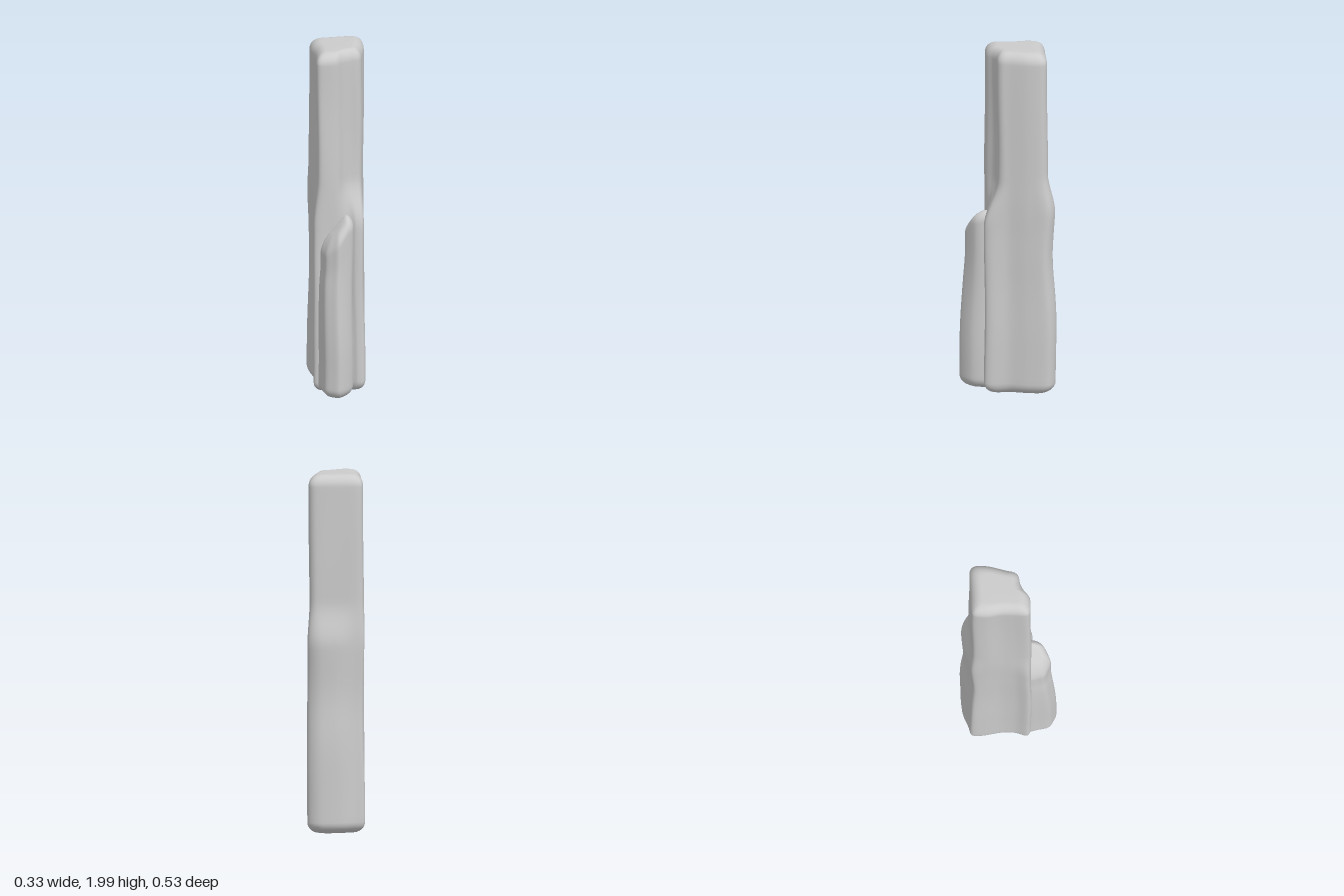
import * as THREE from 'three';

const AROUND = 96;
const smooth = THREE.MathUtils.smoothstep;
const mix = THREE.MathUtils.lerp;

// Closed smooth outline through [x, z] corners, sampled per corner so outlines can be blended
function outline(points) {
  const curve = new THREE.CatmullRomCurve3(
    points.map(([x, z]) => new THREE.Vector3(x, 0, z)), true, 'catmullrom', 0.45);
  return Array.from({ length: AROUND }, (_, i) => curve.getPoint(i / AROUND));
}

// Loft with rounded ends; place(i, y) gives the wall point, bend adjusts the final vertex
function loft(name, y0, y1, radius, center, half, place, bend) {
  const levels = [], steps = 8, rows = 64;
  for (let i = 0; i <= steps; i++) {
    const a = (i / steps) * Math.PI / 2;
    levels.push([y0 + radius * (1 - Math.sin(a)), radius * (1 - Math.cos(a))]);
  }
  levels.reverse();
  const rounded = levels.slice();
  // ring order: bottom cap, wall, top cap
  const rings = rounded.slice().map(([y, inset]) => [y, inset]).sort((a, b) => a[0] - b[0]);
  for (let i = 1; i < rows; i++) rings.push([mix(y0 + radius, y1 - radius, i / rows), 0]);
  rounded.map(([y, inset]) => [y1 - (y - y0), inset])
    .sort((a, b) => a[0] - b[0]).forEach(r => rings.push(r));

  const pos = [], index = [], v = new THREE.Vector3();
  const push = () => { if (bend) bend(v); pos.push(v.x, v.y, v.z); };
  for (const [y, inset] of rings) {
    for (let i = 0; i < AROUND; i++) {
      v.copy(place(i, y));
      v.x = center[0] + (v.x - center[0]) * (1 - inset / half[0]);
      v.z = center[1] + (v.z - center[1]) * (1 - inset / half[1]);
      v.y = y;
      push();
    }
  }
  const bottom = pos.length / 3;
  v.set(center[0], y0, center[1]); push();
  v.set(center[0], y1, center[1]); push();
  const last = (rings.length - 1) * AROUND;
  for (let i = 0; i < AROUND; i++) {
    const j = (i + 1) % AROUND;
    for (let r = 0; r < rings.length - 1; r++) {
      const a = r * AROUND + i, b = r * AROUND + j;
      index.push(a, a + AROUND, b, b, a + AROUND, b + AROUND);
    }
    index.push(bottom, i, j, bottom + 1, last + j, last + i);
  }
  const geo = new THREE.BufferGeometry();
  geo.setAttribute('position', new THREE.Float32BufferAttribute(pos, 3));
  geo.setIndex(index);
  geo.computeVertexNormals();
  const mesh = new THREE.Mesh(geo, new THREE.MeshStandardMaterial({ color: 0xcccccc }));
  mesh.name = name;
  return mesh;
}

export function createModel() {
  const group = new THREE.Group();
  group.name = 'standingStone';

  // Column: wide foot outline blending into a slimmer upper outline
  const foot = outline([
    [-0.15, -0.2], [-0.1, -0.22], [-0.02, -0.252], [0.09, -0.262], [0.145, -0.24], [0.165, -0.2],
    [0.15, -0.1], [0.122, 0], [0.124, 0.09], [0.11, 0.128], [0.075, 0.132], [0.04, 0.115],
    [-0.04, 0.12], [-0.13, 0.125], [-0.165, 0.105], [-0.145, 0.04], [-0.14, -0.04], [-0.152, -0.13]]);
  const upper = outline([
    [-0.142, -0.185], [-0.11, -0.205], [-0.02, -0.21], [0.09, -0.213], [0.13, -0.205], [0.15, -0.175],
    [0.146, -0.1], [0.122, -0.01], [0.112, 0.035], [0.09, 0.058], [0.045, 0.066], [0.005, 0.085],
    [-0.04, 0.118], [-0.115, 0.122], [-0.142, 0.1], [-0.138, 0.03], [-0.138, -0.04], [-0.15, -0.12]]);
  const p = new THREE.Vector3();
  group.add(loft('column', 0.01, 2, 0.065, [0, -0.05], [0.15, 0.165], (i, y) => {
    const back = foot[i].z < -0.15;
    p.lerpVectors(foot[i], upper[i], smooth(y, back ? 1.05 : 0.98, back ? 1.3 : 1.25));
    // gentle weathering and a slight waist
    const waist = 0.018 * Math.exp(-(((y - 0.78) / 0.22) ** 2));
    if (p.z < -0.1) p.z += waist * smooth(-p.z, 0.1, 0.25);
    p.x += 0.003 * Math.sin(5 * y + 9 * p.z) - 0.006 * smooth(y, 0.3, 0.7) * Math.sign(p.x) * (1 - smooth(y, 0.9, 1.2));
    p.z += 0.003 * Math.sin(7 * y + 14 * p.x);
    return p;
  }));

  // Front slab: a ridge with a slanted top, its back buried in the column
  const slab = outline([
    [-0.1, 0.03], [0.02, 0.03], [0.046, 0.08], [0.048, 0.15], [0.034, 0.2], [0, 0.238],
    [-0.045, 0.264], [-0.085, 0.248], [-0.118, 0.222], [-0.13, 0.17], [-0.14, 0.1]]);
  group.add(loft('frontSlab', 0.015, 1.06, 0.06, [-0.04, 0.13], [0.09, 0.12], (i, y) => {
    const s = smooth(y, 0.25, 0.9);
    p.copy(slab[i]);
    p.z -= 0.03 * s * smooth(p.z, 0.12, 0.26);
    p.x += 0.01 * s * smooth(-p.x, 0.02, 0.12) + 0.003 * Math.sin(8 * y);
    return p;
  }, v => {
    const s = smooth(v.y, 0.6, 1.02);
    v.y -= s * (1.1 * Math.max(0, 0.015 - v.x) + 0.35 * Math.max(0, v.z - 0.13));
  }));

  return group;
}
